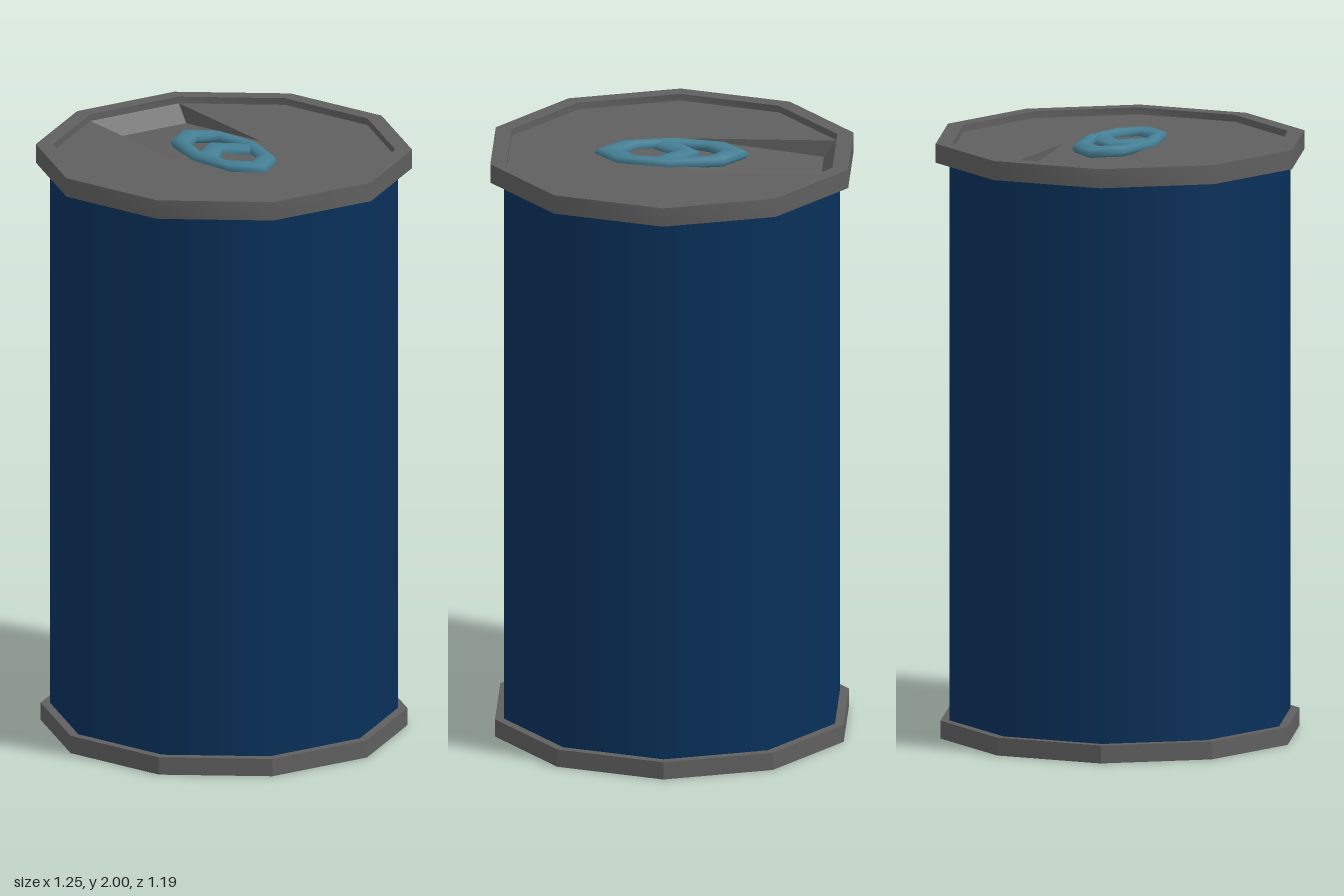
import * as THREE from 'three';
import { toCreasedNormals } from 'three/addons/utils/BufferGeometryUtils.js';

const SIDES = 10;
const LID_Y = 1.975;

export function createModel() {
  const group = new THREE.Group();
  const metal = new THREE.MeshStandardMaterial({ color: 0x5f5f5f, side: THREE.DoubleSide });
  const metalFlat = new THREE.MeshStandardMaterial({ color: 0x5f5f5f, side: THREE.DoubleSide, flatShading: true });
  const blue = new THREE.MeshStandardMaterial({ color: 0x08305a });
  const tabBlue = new THREE.MeshStandardMaterial({ color: 0x457f95 });

  const add = (name, geometry, material) => {
    const mesh = new THREE.Mesh(geometry, material);
    mesh.name = name;
    group.add(mesh);
    return mesh;
  };
  // Ten-sided turned part with a corner on +x
  const turned = (profile) => new THREE.LatheGeometry(
    profile.map(([r, y]) => new THREE.Vector2(r, y)), SIDES, Math.PI / 2);

  // Smooth can wall
  const body = new THREE.CylinderGeometry(0.576, 0.576, 1.89, SIDES, 1, true, Math.PI / 2);
  body.translate(0, 1.005, 0);
  add('body', body, blue);

  // Upper rim, and a thin-walled foot hollow from below
  add('topRim', toCreasedNormals(turned(
    [[0.57, 1.934], [0.623, 1.934], [0.623, 1.998], [0.567, 1.998], [0.567, LID_Y]]), 0.8), metal);
  add('bottomRim', turned([[0.607, 0], [0.607, 0.06], [0, 0.06]]), metalFlat);

  // Recessed lid with a notch cut in from the back edge
  const notchX = 0.567 * Math.cos(Math.PI * 0.4);
  const backZ = -0.567 * Math.sin(Math.PI * 0.4);
  const outline = [];
  for (let k = 0; k < SIDES; k++) {
    const a = (k / SIDES) * Math.PI * 2;
    outline.push(new THREE.Vector2(0.567 * Math.cos(a), 0.567 * Math.sin(a)));
    if (k === 2) outline.push(new THREE.Vector2(notchX, 0.05), new THREE.Vector2(-notchX, 0.05));
  }
  const lid = new THREE.ShapeGeometry(new THREE.Shape(outline));
  lid.rotateX(-Math.PI / 2);
  lid.translate(0, LID_Y, 0);
  add('lid', lid, metalFlat);

  // Sloping mouth inside the notch: ramp, back wall and two side walls
  const section = [[LID_Y, -0.05], [1.918, -0.495], [LID_Y, backZ]];
  const pts = [];
  for (let i = 0; i < 2; i++) {
    const [y0, z0] = section[i], [y1, z1] = section[i + 1];
    pts.push(-notchX, y0, z0, notchX, y0, z0, notchX, y1, z1);
    pts.push(-notchX, y0, z0, notchX, y1, z1, -notchX, y1, z1);
  }
  for (const s of [1, -1]) {
    const order = s > 0 ? section : [...section].reverse();
    for (const [y, z] of order) pts.push(-s * notchX, y, z);
  }
  const mouth = new THREE.BufferGeometry();
  mouth.setAttribute('position', new THREE.Float32BufferAttribute(pts, 3));
  mouth.computeVertexNormals();
  add('mouth', mouth, metalFlat);

  // Eight-sided oval pull ring
  const ring = new THREE.TorusGeometry(0.805, 0.195, 8, 8);
  ring.rotateX(Math.PI / 2);
  ring.scale(0.131, 0.1, 0.257);
  ring.translate(0, 1.9805, 0);
  add('pullRing', ring, tabBlue);

  // Bent bar across the ring
  const bend = new THREE.CurvePath();
  const [l, m, r] = [[-0.09, 0.03], [0, -0.05], [0.09, 0.03]].map(([x, z]) => new THREE.Vector3(x, 0, z));
  bend.add(new THREE.LineCurve3(l, m));
  bend.add(new THREE.LineCurve3(m, r));
  const bar = new THREE.TubeGeometry(bend, 2, 0.047, 8);
  bar.scale(1, 0.4, 1);
  bar.translate(0, 1.978, 0);
  add('tabBar', bar, tabBlue);

  return group;
}
